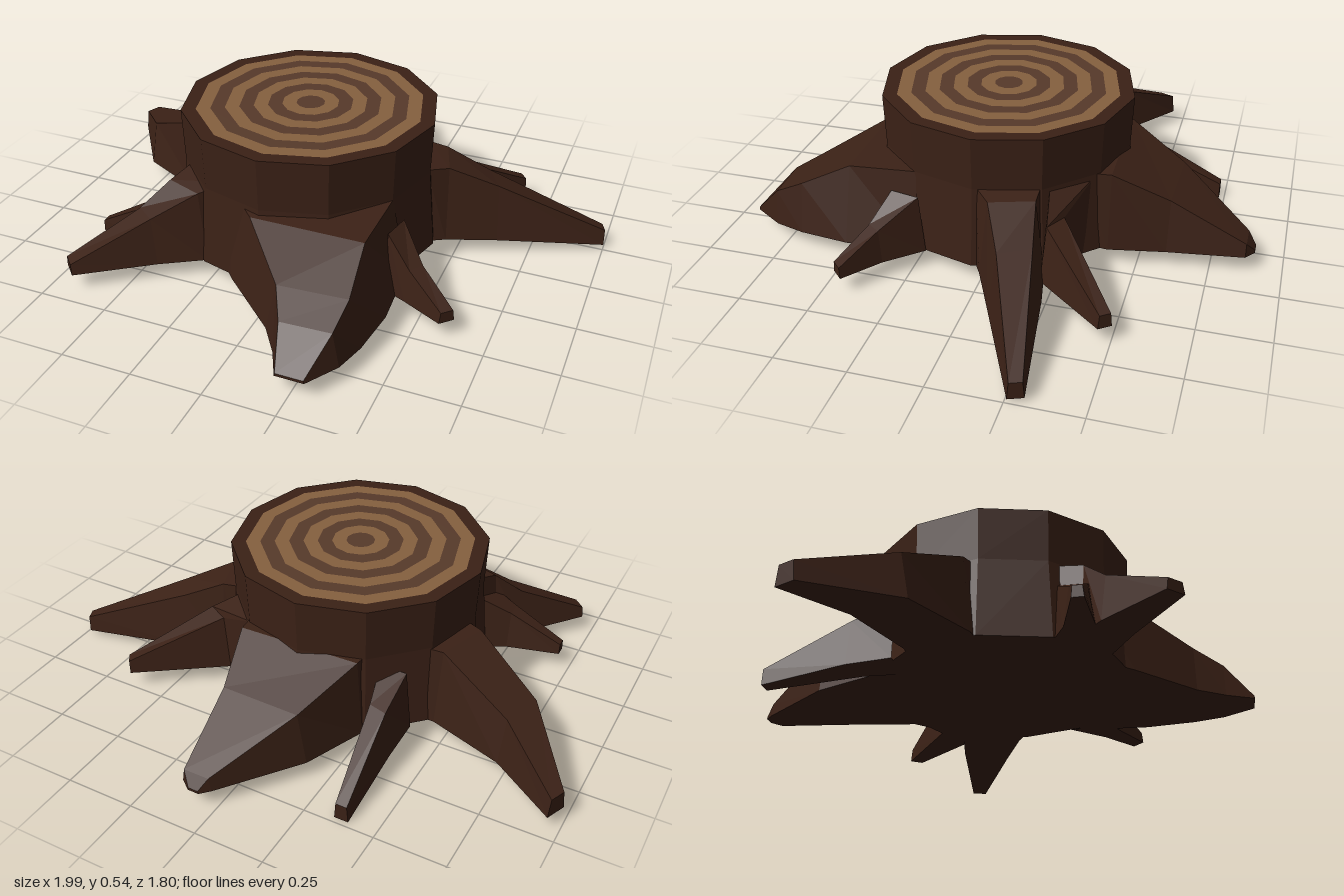
import * as THREE from 'three';

const CX = -0.04, CZ = 0.03, TOP = 0.54, NECK = 0.35, BASE = 0.06;
const material = (color) => new THREE.MeshStandardMaterial({ color, flatShading: true, side: THREE.DoubleSide });
const bark = material(0x3b2116);
const lightWood = material(0x85603f);
const darkWood = material(0x573a2a);

// Each section: left x, z, right x, z (on the ground, looking outward), top y, top width share, bottom y
const ROOTS = {
  backRoot: [
    [-0.26, -0.30, 0.20, -0.30, 0.35, 1], [-0.27, -0.39, 0.21, -0.40, 0.35, 0.92],
    [-0.18, -0.61, 0.17, -0.60, 0.25, 0.82], [0.02, -0.87, 0.13, -0.87, 0.11, 0.85], [0.05, -0.90, 0.09, -0.90, 0.07, 0.9],
  ],
  backRightSmallRoot: [
    [-0.40, -0.28, -0.26, -0.28, 0.28, 0.7], [-0.40, -0.44, -0.29, -0.41, 0.22, 0.6, 0.05],
    [-0.40, -0.73, -0.35, -0.73, 0.06, 0.8, 0],
  ],
  rightRoot: [
    [-0.44, 0.03, -0.38, -0.22, 0.35, 0.9], [-0.54, 0.02, -0.46, -0.22, 0.34, 0.75],
    [-0.80, -0.11, -0.73, -0.31, 0.225, 0.7], [-0.99, -0.39, -0.96, -0.46, 0.12, 0.75, 0.05],
  ],
  frontRightSmallRoot: [
    [-0.40, 0.41, -0.40, 0.25, 0.27, 0.7], [-0.52, 0.41, -0.52, 0.31, 0.20, 0.6], [-0.71, 0.40, -0.71, 0.36, 0.10, 0.8],
  ],
  frontRightRoot: [
    [-0.20, 0.36, -0.40, 0.26, 0.35, 0.9], [-0.27, 0.43, -0.46, 0.36, 0.32, 0.7],
    [-0.42, 0.52, -0.54, 0.43, 0.23, 0.6], [-0.66, 0.69, -0.71, 0.64, 0.10, 0.8],
  ],
  frontRoot: [
    [0.40, 0.24, -0.27, 0.36, 0.35, 0.85], [0.42, 0.50, -0.14, 0.50, 0.33, 0.72],
    [0.40, 0.68, 0.08, 0.70, 0.24, 0.75], [0.37, 0.79, 0.15, 0.80, 0.185, 0.8], [0.30, 0.90, 0.20, 0.90, 0.07, 0.95],
  ],
  frontLeftSmallRoot: [
    [0.39, 0.21, 0.36, 0.36, 0.27, 0.7], [0.50, 0.33, 0.45, 0.40, 0.18, 0.65], [0.63, 0.43, 0.59, 0.47, 0.10, 0.8],
  ],
  leftRoot: [
    [0.34, -0.20, 0.40, 0.03, 0.35, 0.9], [0.40, -0.22, 0.47, -0.01, 0.34, 0.72],
    [0.55, -0.25, 0.64, -0.09, 0.26, 0.65, 0.05], [0.98, -0.31, 1.0, -0.26, 0.075, 0.8, 0.015],
  ],
  backLeftRoot: [
    [0.17, -0.36, 0.34, -0.20, 0.34, 0.8], [0.33, -0.29, 0.46, -0.22, 0.26, 0.6], [0.63, -0.50, 0.66, -0.46, 0.11, 0.8],
  ],
};

// Four-cornered sections joined into a tapering root with a closed tip
function rootGeometry(sections) {
  const positions = [], index = [];
  for (const [lx, lz, rx, rz, top, share, bottom = BASE] of sections) {
    const a = (1 - share) / 2, b = 1 - a;
    const at = (t, y) => positions.push(lx + (rx - lx) * t, y, lz + (rz - lz) * t);
    at(0, bottom); at(a, top); at(b, top); at(1, bottom);
  }
  for (let i = 0; i < sections.length - 1; i++) {
    for (let k = 0; k < 4; k++) {
      const p = i * 4 + k, q = i * 4 + (k + 1) % 4;
      index.push(p, q, q + 4, p, q + 4, p + 4);
    }
  }
  const e = (sections.length - 1) * 4;
  index.push(e, e + 1, e + 2, e, e + 2, e + 3);
  const indexed = new THREE.BufferGeometry();
  indexed.setAttribute('position', new THREE.Float32BufferAttribute(positions, 3));
  indexed.setIndex(index);
  const geometry = indexed.toNonIndexed();
  geometry.computeVertexNormals();
  return geometry;
}

export function createModel() {
  const group = new THREE.Group();
  const add = (name, geometry, mat, x = 0, y = 0, z = 0) => {
    const mesh = new THREE.Mesh(geometry, mat);
    mesh.name = name;
    mesh.position.set(x, y, z);
    group.add(mesh);
  };

  // Twelve-sided trunk above the roots, and the core they grow from
  add('trunk', new THREE.CylinderGeometry(0.457, 0.45, TOP - NECK, 12, 1, true), bark, CX, (TOP + NECK) / 2, CZ);
  add('rootCore', new THREE.CylinderGeometry(0.45, 0.475, NECK - BASE, 12), bark, CX, (NECK + BASE) / 2, CZ);

  // Cut face: bark rim around alternating growth rings
  const ring = (inner, outer) => new THREE.RingGeometry(inner, outer, 12).rotateX(-Math.PI / 2);
  add('barkRim', ring(0.405, 0.457), bark, CX, TOP, CZ);
  const count = 8, step = 0.405 / count;
  for (let i = 0; i < count; i++) {
    add('growthRing' + (i + 1), ring(i * step, (i + 1) * step), i % 2 ? lightWood : darkWood, CX, TOP, CZ);
  }

  for (const [name, sections] of Object.entries(ROOTS)) add(name, rootGeometry(sections), bark);
  return group;
}
